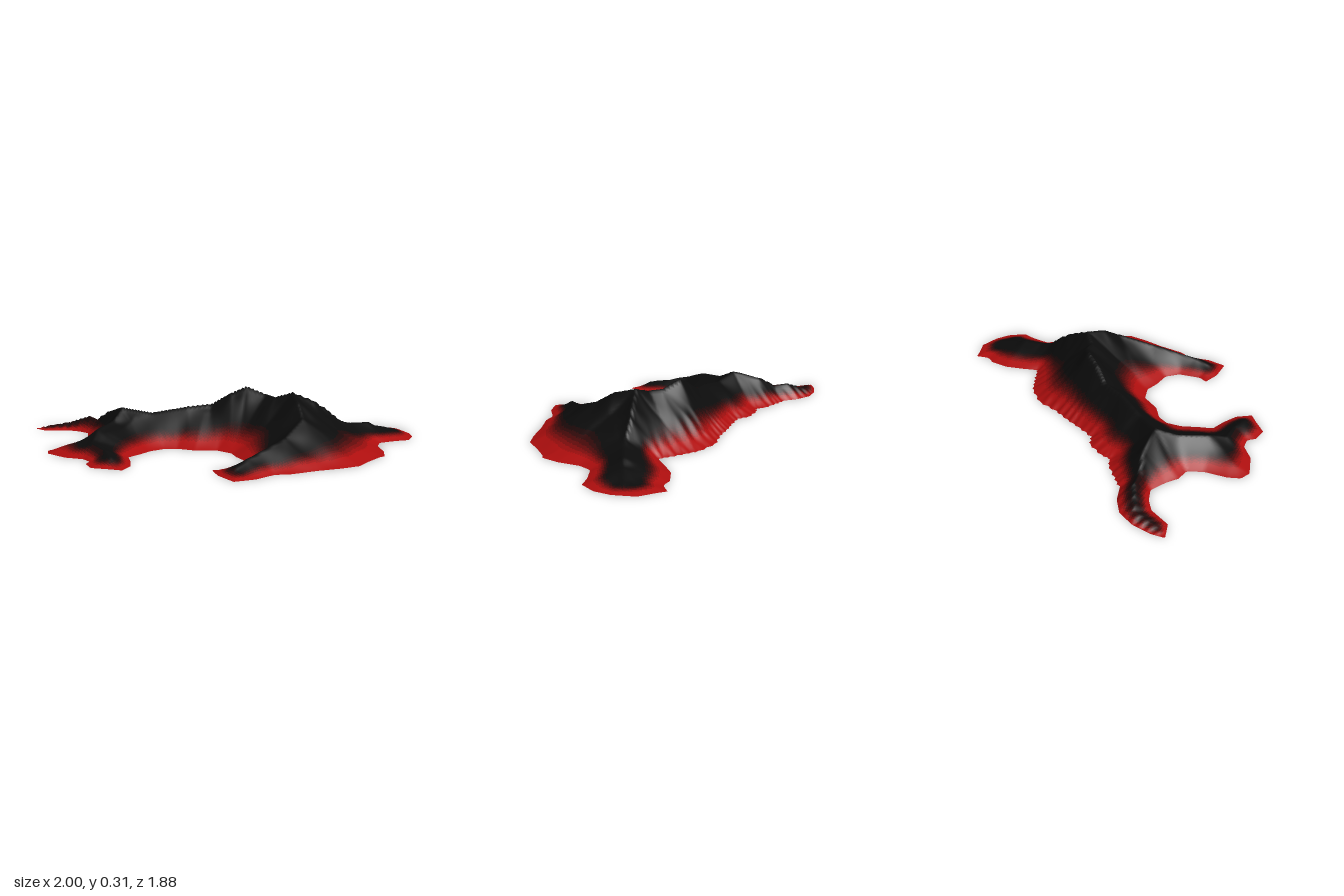
import * as THREE from 'three';

// Ground outline as [x, z]: the rear scarp, then the rest clockwise
const SCARP = [
  [-.41, -.65], [-.36, -.59], [-.29, -.5], [-.28, -.44], [-.22, -.43], [-.12, -.36], [-.1, -.29], [0, -.23],
  [.1, -.18], [.2, -.12], [.33, -.07], [.43, .04], [.46, .12], [.49, .2], [.51, .27],
];
const COAST = [
  [.6, .25], [.72, .23], [.83, .25], [.88, .29], [.96, .28], [.97, .33], [1, .43], [.96, .55], [.9, .63],
  [.81, .68], [.73, .65], [.62, .63], [.55, .68], [.48, .79], [.4, .87], [.36, .87], [.25, .9], [.14, .94],
  [.03, .92], [-.1, .88], [-.25, .85], [-.32, .81], [-.45, .82], [-.56, .79], [-.55, .65], [-.51, .55],
  [-.46, .58], [-.33, .57], [-.26, .51], [-.24, .4], [-.21, .32], [-.23, .22], [-.33, .14], [-.38, .05],
  [-.44, .01], [-.53, .01], [-.62, .04], [-.7, .06], [-.74, .15], [-.79, .23], [-.87, .28], [-.91, .22],
  [-.97, .14], [-.95, .05], [-.91, .02], [-.91, -.05], [-.97, -.14], [-1, -.28], [-.97, -.34], [-.9, -.36],
  [-.78, -.36], [-.69, -.39], [-.67, -.47], [-.62, -.53], [-.57, -.62], [-.59, -.7], [-.63, -.77],
  [-.74, -.84], [-.76, -.94], [-.69, -.94], [-.58, -.91], [-.49, -.85], [-.44, -.76],
];

// Crest lines as [x, z, height]
const RIDGES = [
  // main spine
  [[-.7, -.9, .015], [-.57, -.85, .035], [-.51, -.7, .09], [-.51, -.62, .085], [-.48, -.5, .15], [-.49, -.34, .19],
    [-.37, -.22, .165], [-.2, -.1, .2], [-.08, -.04, .21], [.01, .04, .28], [.08, .09, .315], [.14, .2, .275],
    [.14, .27, .27], [.2, .35, .3], [.14, .46, .27], [.08, .57, .2], [-.12, .65, .13], [-.4, .69, .07], [-.48, .7, .04]],
  // right spur
  [[.2, .35, .3], [.32, .38, .25], [.4, .4, .2], [.5, .44, .115], [.57, .45, .095], [.69, .46, .09],
    [.76, .47, .06], [.88, .48, .03]],
  // left spur
  [[-.49, -.34, .19], [-.6, -.27, .135], [-.74, -.19, .12], [-.82, -.1, .08], [-.83, .04, .06], [-.86, .15, .045]],
];

const SHADES = [0xae0e0e, 0x980d0d, 0x7e0c0c, 0x640b0b, 0x4a0a0a, 0x320a0a, 0x1d0a0a, 0x0c0c0c];
const STEP = 0.0125;

// Adds small alternating teeth along the rear scarp
function serrate(points) {
  const out = [];
  for (let i = 0; i < points.length - 1; i++) {
    const [ax, az] = points[i], [bx, bz] = points[i + 1];
    const len = Math.hypot(bx - ax, bz - az);
    for (let k = 0; k < 4; k++) {
      const f = k / 4, o = k % 2 ? 0.008 : -0.005;
      out.push([ax + (bx - ax) * f + (bz - az) / len * o, az + (bz - az) * f - (bx - ax) / len * o]);
    }
  }
  return [...out, points[points.length - 1]];
}

// Nearest point on segment a-b
function nearest(x, z, a, b) {
  const dx = b[0] - a[0], dz = b[1] - a[1];
  const f = THREE.MathUtils.clamp(((x - a[0]) * dx + (z - a[1]) * dz) / (dx * dx + dz * dz), 0, 1);
  const px = a[0] + dx * f, pz = a[1] + dz * f;
  return { x: px, z: pz, f, d: Math.hypot(x - px, z - pz) };
}

// Nearest outline point and whether (x, z) lies inside
function probe(x, z, outline) {
  let best = { d: Infinity }, inside = false;
  outline.forEach((b, i) => {
    const a = outline[(i + outline.length - 1) % outline.length];
    const n = nearest(x, z, a, b);
    if (n.d < best.d) best = n;
    if ((a[1] > z) !== (b[1] > z) && x < a[0] + (b[0] - a[0]) * (z - a[1]) / (b[1] - a[1])) inside = !inside;
  });
  return { ...best, inside };
}

// Distance to the crest lines and the blended crest height there
function crest(x, z) {
  let d = Infinity, sum = 0, weight = 0;
  for (const line of RIDGES) {
    for (let i = 1; i < line.length; i++) {
      const a = line[i - 1], b = line[i], n = nearest(x, z, a, b);
      const w = 1 / (n.d ** 3 + 1e-6);
      sum += w * (a[2] + (b[2] - a[2]) * n.f);
      weight += w;
      d = Math.min(d, n.d);
    }
  }
  return { d, h: sum / weight };
}

export function createModel() {
  const group = new THREE.Group();
  group.name = 'mountainIsland';
  const outline = [...serrate(SCARP), ...COAST];
  const nx = Math.round(2.05 / STEP), nz = Math.round(1.95 / STEP);
  const pos = [], inside = [], tone = [];

  // Height field: outside points snap to the shore, inside points rise to the crest
  for (let j = 0; j <= nz; j++) {
    for (let i = 0; i <= nx; i++) {
      const x = -1.025 + i * STEP, z = -0.975 + j * STEP;
      const p = probe(x, z, outline);
      inside.push(p.inside);
      if (!p.inside) {
        pos.push(p.x, 0, p.z);
        tone.push(0);
        continue;
      }
      const c = crest(x, z), t = p.d / (p.d + c.d);
      // gullies run down the rear scarp, soft bumps elsewhere
      const scarp = THREE.MathUtils.smoothstep(x - z, 0.08, 0.3) * (x < 0.5 ? 1 : 0);
      const bump = 0.007 * scarp * Math.sin(75 * (x + z) + 5 * Math.sin(9 * x))
        + 0.004 * Math.sin(23 * x + 9 * z) * Math.sin(19 * z - 7 * x);
      pos.push(x, Math.max(0, c.h * t ** 1.15 + bump * 4 * t * (1 - t)), z);
      tone.push(THREE.MathUtils.smoothstep(t, 0.1, 0.66) * Math.min(1, 0.45 + p.d * 6));
    }
  }

  // Sort triangles into bands from red shore to black crest
  const bands = SHADES.map(() => []), all = [];
  const addTriangle = (...v) => {
    if (!v.some((k) => inside[k])) return;
    const mean = (tone[v[0]] + tone[v[1]] + tone[v[2]]) / 3;
    bands[Math.min(SHADES.length - 1, Math.floor(mean * SHADES.length))].push(...v);
    all.push(...v);
  };
  for (let j = 0; j < nz; j++) {
    for (let i = 0; i < nx; i++) {
      const a = j * (nx + 1) + i, b = a + 1, c = a + nx + 1, d = c + 1;
      addTriangle(a, c, b);
      addTriangle(b, c, d);
    }
  }

  // Normals are shared so the bands join smoothly
  const terrain = new THREE.BufferGeometry();
  terrain.setAttribute('position', new THREE.Float32BufferAttribute(pos, 3));
  terrain.setIndex(all);
  terrain.computeVertexNormals();
  bands.forEach((index, k) => {
    if (!index.length) return;
    terrain.setIndex(index);
    const material = new THREE.MeshStandardMaterial({ color: SHADES[k], side: THREE.DoubleSide });
    const mesh = new THREE.Mesh(terrain.toNonIndexed(), material);
    mesh.name = k === 0 ? 'shore' : k === SHADES.length - 1 ? 'crest' : `slope${k}`;
    group.add(mesh);
  });
  return group;
}
